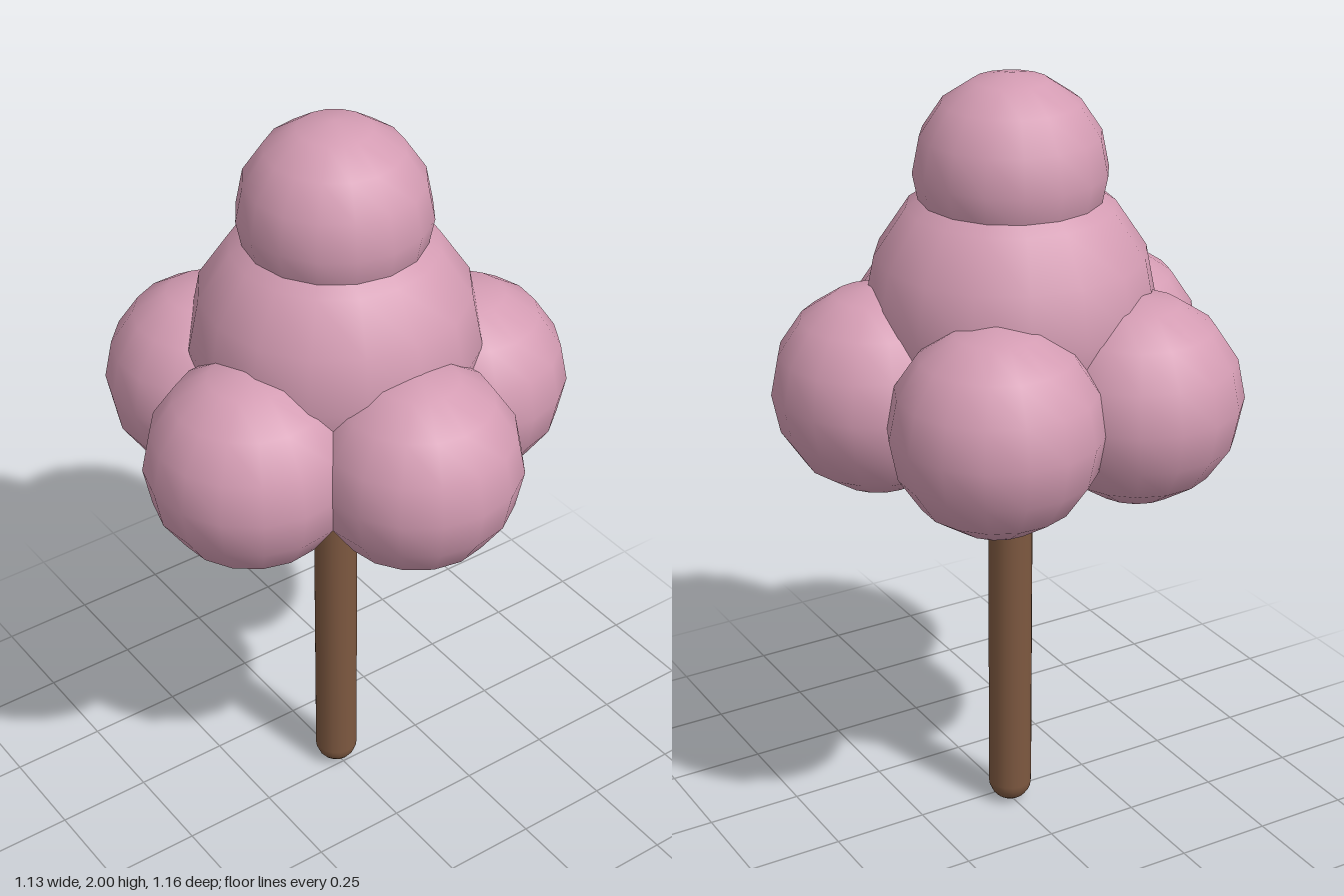
import * as THREE from 'three';

export function createModel() {
  const blossom = new THREE.MeshStandardMaterial({ color: 0xd49cb3 });
  blossom.name = 'blossomPink';
  const bark = new THREE.MeshStandardMaterial({ color: 0x7d5840 });
  bark.name = 'barkBrown';

  const tree = new THREE.Group();
  tree.name = 'blossomTree';
  const axisX = -0.035; // the trunk stands slightly off the centre of the bounds

  const puff = (name, radius, x, y, parent) => {
    const mesh = new THREE.Mesh(new THREE.SphereGeometry(radius, 16, 8), blossom);
    mesh.name = name;
    mesh.position.set(x, y, 0);
    parent.add(mesh);
  };

  // Round-ended trunk
  const trunk = new THREE.Mesh(new THREE.CapsuleGeometry(0.057, 0.842, 6, 16), bark);
  trunk.name = 'trunk';
  trunk.position.set(axisX, 0.482, 0);
  tree.add(trunk);

  // Central and top foliage
  puff('crownCore', 0.362, axisX, 1.42, tree);
  puff('crownTop', 0.238, axisX, 1.762, tree);

  // Ring of five lower puffs, each turned with its arm
  for (let i = 0; i < 5; i++) {
    const arm = new THREE.Group();
    arm.name = `lowerFoliage${i + 1}`;
    arm.position.x = axisX;
    arm.rotation.y = (i * Math.PI * 2) / 5;
    puff('foliagePuff', 0.262, 0.335, 1.23, arm);
    tree.add(arm);
  }
  return tree;
}
